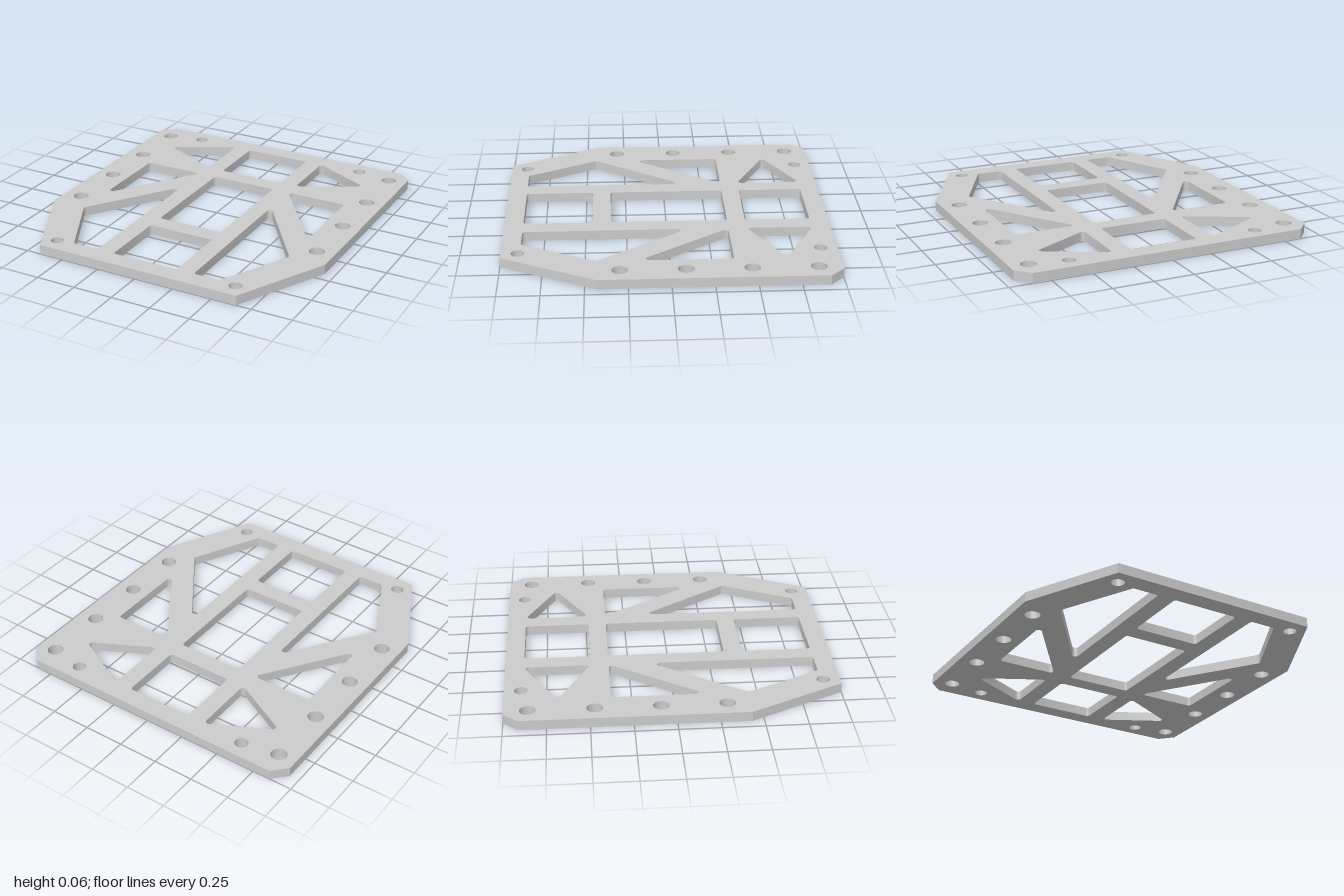
import * as THREE from 'three';
import { toCreasedNormals } from 'three/addons/utils/BufferGeometryUtils.js';

const THICKNESS = 0.06;
const FILLET = 0.02;

// Closed polygon with every corner rounded to radius r
function roundedPolygon(points, r) {
  const path = new THREE.Path();
  const pts = points.map(([x, z]) => new THREE.Vector2(x, z));
  const n = pts.length;
  pts.forEach((p, i) => {
    const a = pts[(i + n - 1) % n].clone().sub(p).normalize();
    const b = pts[(i + 1) % n].clone().sub(p).normalize();
    const half = Math.acos(a.dot(b)) / 2;
    const center = p.clone().add(a.clone().add(b).normalize().multiplyScalar(r / Math.sin(half)));
    const start = p.clone().addScaledVector(a, r / Math.tan(half)).sub(center);
    const end = p.clone().addScaledVector(b, r / Math.tan(half)).sub(center);
    path.absarc(center.x, center.y, r, start.angle(), end.angle(), start.cross(end) < 0);
  });
  path.closePath();
  return path;
}

function roundHole(x, z, r) {
  const path = new THREE.Path();
  path.absarc(x, z, r, 0, Math.PI * 2, false);
  return path;
}

export function createModel() {
  const group = new THREE.Group();
  group.name = 'mountingPlate';

  // Outer outline in x and z, counterclockwise so that the extrusion also orients every hole
  const half = [[0.86, -1], [0.94, -0.915], [0.94, 0.43], [0.655, 1]];
  const mirrored = half.map(([x, z]) => [-x, z]).reverse();
  const shape = new THREE.Shape([...half, ...mirrored].map(([x, z]) => new THREE.Vector2(x, z)));

  // Central rectangular windows
  for (const [z0, z1] of [[-0.887, -0.485], [-0.373, 0.345], [0.457, 0.885]]) {
    shape.holes.push(roundedPolygon([[-0.213, z0], [0.213, z0], [0.213, z1], [-0.213, z1]], FILLET));
  }

  // Truss cutouts and screw holes, mirrored to both sides
  const cutouts = [
    [[0.325, -0.89], [0.715, -0.688], [0.325, -0.485]],
    [[0.327, -0.373], [0.715, -0.373], [0.715, 0.185]],
    [[0.325, -0.122], [0.715, 0.437], [0.49, 0.885], [0.325, 0.885]],
  ];
  for (const side of [1, -1]) {
    for (const c of cutouts) {
      shape.holes.push(roundedPolygon(c.map(([x, z]) => [side * x, z]), FILLET));
    }
    for (const z of [-0.858, -0.472, -0.087, 0.298]) shape.holes.push(roundHole(side * 0.828, z, 0.048));
    for (const z of [-0.9, 0.898]) shape.holes.push(roundHole(side * 0.6, z, 0.04));
  }

  // Lay the extrusion flat on the ground
  let geometry = new THREE.ExtrudeGeometry(shape, { depth: THICKNESS, bevelEnabled: false, curveSegments: 16 });
  geometry.rotateX(Math.PI / 2).translate(0, THICKNESS, 0);
  geometry = toCreasedNormals(geometry, 0.45);

  const plate = new THREE.Mesh(geometry, new THREE.MeshStandardMaterial({ color: 0xcccccc }));
  plate.name = 'plate';
  group.add(plate);
  return group;
}
